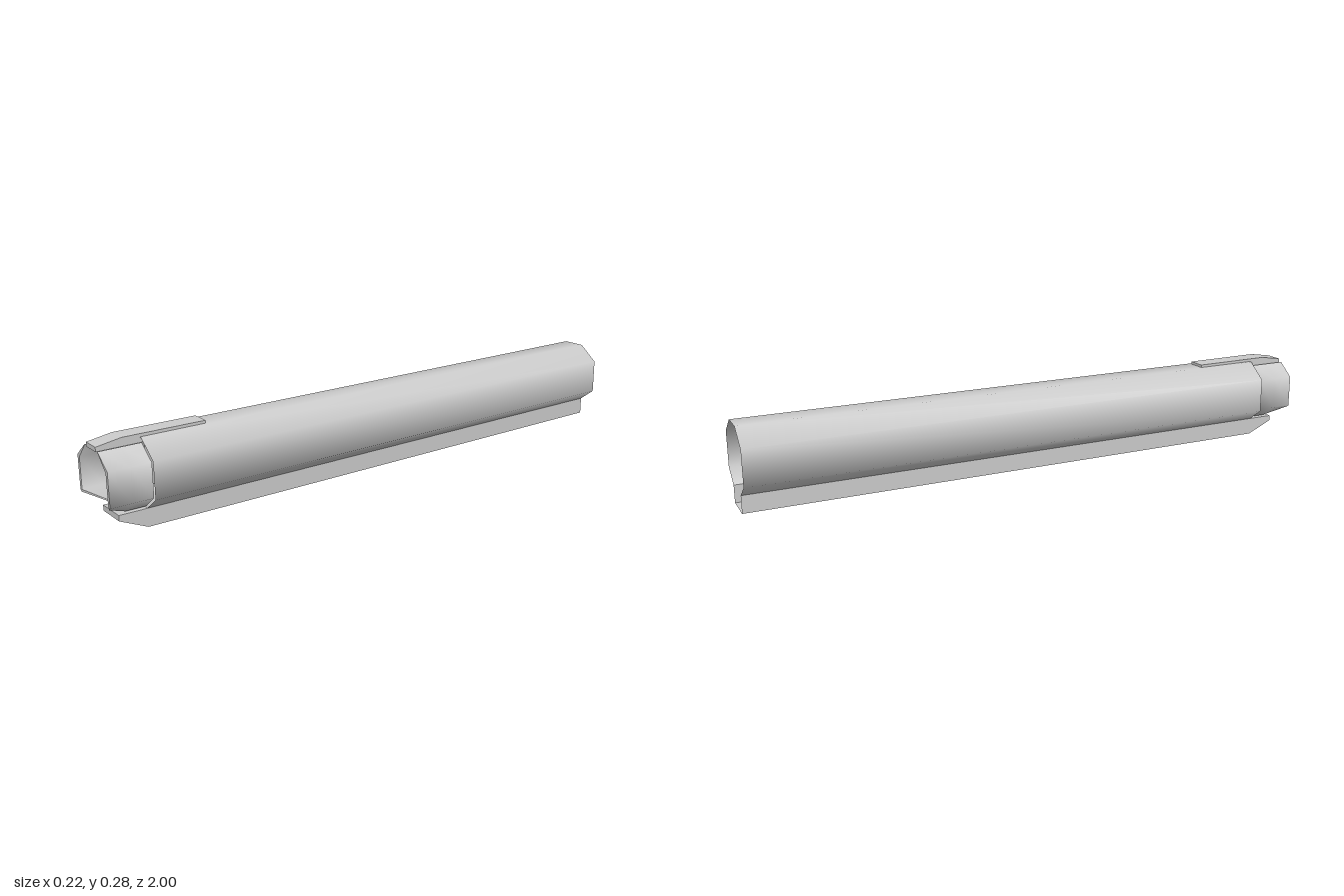
import * as THREE from 'three';
import { toCreasedNormals } from 'three/addons/utils/BufferGeometryUtils.js';

const material = new THREE.MeshStandardMaterial({ color: 0xcccccc, side: THREE.DoubleSide });

// Skins cross-sections { z, pts }, points counter-clockwise seen from the front.
function loft(name, rings, { closed = true, capFirst = false, capLast = false } = {}) {
  const pos = [];
  const tri = (...corners) => corners.forEach(([p, z]) => pos.push(p[0], p[1], z));
  for (let r = 0; r + 1 < rings.length; r++) {
    const A = rings[r], B = rings[r + 1], n = A.pts.length;
    for (let i = 0; i < (closed ? n : n - 1); i++) {
      const j = (i + 1) % n;
      const a = [A.pts[i], A.z], b = [A.pts[j], A.z], c = [B.pts[j], B.z], d = [B.pts[i], B.z];
      tri(a, b, c);
      tri(a, c, d);
    }
  }
  const cap = ({ pts, z }, flip) => {
    const faces = THREE.ShapeUtils.triangulateShape(pts.map(p => new THREE.Vector2(...p)), []);
    for (const f of faces) tri(...(flip ? [...f].reverse() : f).map(i => [pts[i], z]));
  };
  if (capFirst) cap(rings[0], true);
  if (capLast) cap(rings[rings.length - 1], false);
  const geo = new THREE.BufferGeometry();
  geo.setAttribute('position', new THREE.Float32BufferAttribute(pos, 3));
  const mesh = new THREE.Mesh(toCreasedNormals(geo, 1.0), material);
  mesh.name = name;
  return mesh;
}

const mirrored = pts => pts.map(([x, y]) => [-x, y]).reverse();
const symmetric = half => [...half, ...mirrored(half)];
const rect = (w, y0, y1) => [[w, y0], [w, y1], [-w, y1], [-w, y0]];

export function createModel() {
  const group = new THREE.Group();
  const shoulder = 0.865;

  // Long octagonal tube, open at the back and along the rail
  const octagon = symmetric([[0.052, 0.058], [0.108, 0.1], [0.108, 0.217], [0.04, 0.27]]);
  group.add(loft('tube', [{ z: -1, pts: octagon }, { z: shoulder, pts: octagon }], { closed: false }));

  // Funnel-shaped mouth with a closed bottom
  const throat = symmetric([[0.053, 0.095], [0.078, 0.115], [0.078, 0.206], [0.052, 0.23]]);
  group.add(loft('mouth', [{ z: shoulder, pts: octagon }, { z: 0.8, pts: throat }], { capLast: true }));

  // Hollow rail under the tube
  const channel = [[-0.052, 0.058], [-0.052, 0], [0.052, 0], [0.052, 0.058]];
  group.add(loft('rail', [{ z: -1, pts: channel }, { z: shoulder, pts: channel }], { closed: false }));

  // Lip closing the rail, bevelled from below
  group.add(loft('lip', [
    { z: shoulder, pts: rect(0.052, 0, 0.058) },
    { z: 0.955, pts: rect(0.052, 0.04, 0.058) },
  ], { capLast: true }));

  // Pair of jaws with the lower arm cut back towards the front
  const jaw = (armX, armY) => [
    [armX, armY], [0.1, 0.104], [0.1, 0.212], [0.043, 0.257],
    [0.043, 0.254], [0.088, 0.207], [0.088, 0.106], [armX, armY + 0.004],
  ];
  const jawRings = [
    { z: shoulder, pts: jaw(0.043, 0.062) },
    { z: 0.93, pts: jaw(0.043, 0.062) },
    { z: 1, pts: jaw(0.092, 0.098) },
  ];
  group.add(loft('leftJaw', jawRings, { capFirst: true, capLast: true }));
  group.add(loft('rightJaw', jawRings.map(r => ({ z: r.z, pts: mirrored(r.pts) })), { capFirst: true, capLast: true }));

  // Tongue on top, sloping down at its tip
  group.add(loft('tongue', [
    { z: 0.65, pts: rect(0.031, 0.253, 0.279) },
    { z: 0.92, pts: rect(0.031, 0.253, 0.28) },
    { z: 1, pts: rect(0.031, 0.253, 0.267) },
  ], { capFirst: true, capLast: true }));

  return group;
}
